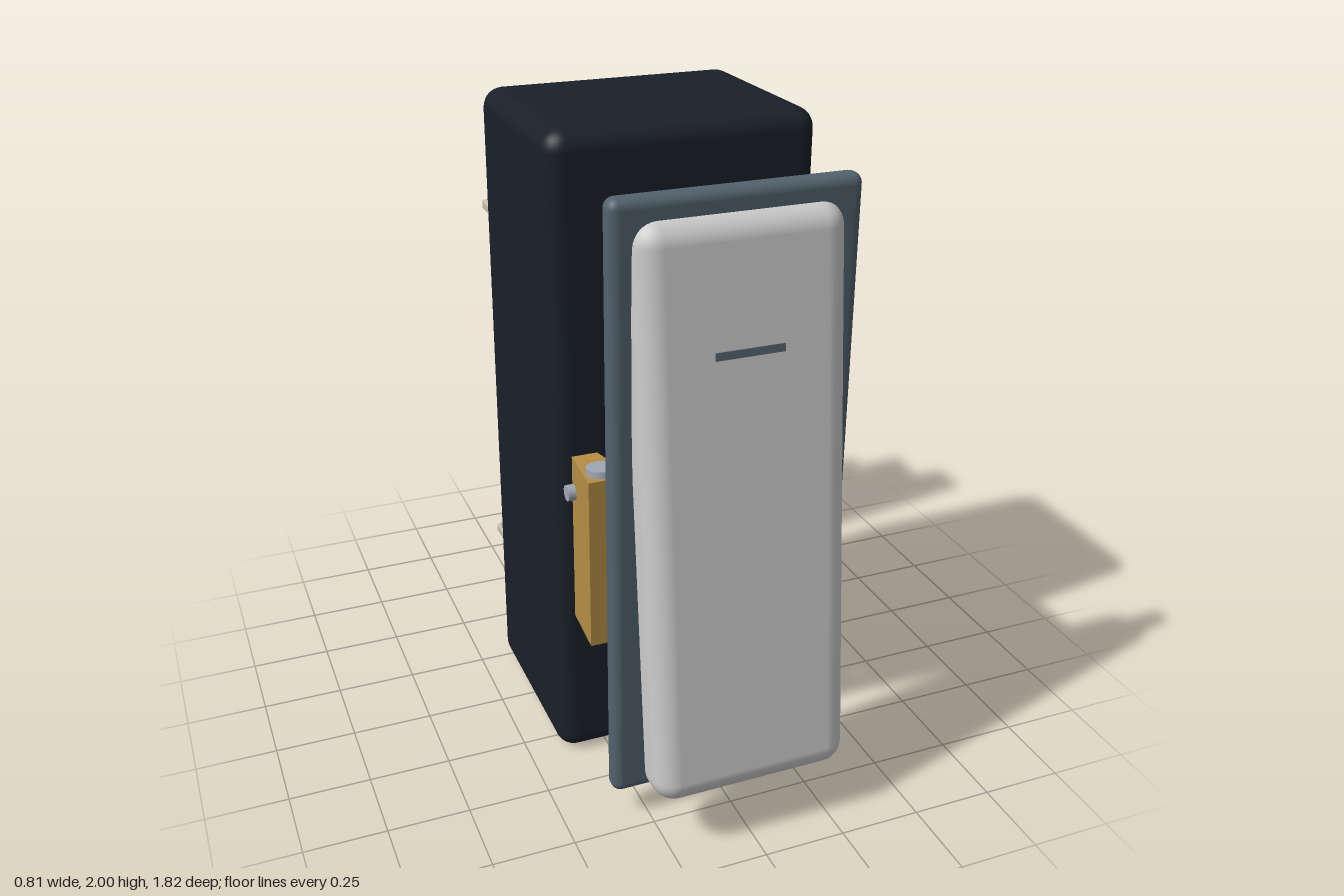
import * as THREE from 'three';
import { RoundedBoxGeometry } from 'three/addons/geometries/RoundedBoxGeometry.js';

const mat = (color) => new THREE.MeshStandardMaterial({ color });
const M = {
  body: mat(0x1a2029), slate: mat(0x52626d), rocker: mat(0xd8d8d4), brass: mat(0xb58e45),
  cream: mat(0xc4bda8), dark: mat(0x2c3433), steel: mat(0xa0a8b4), copper: mat(0x7a4527), tab: mat(0xb4b6b2),
};

function add(parent, name, geo, material, x = 0, y = 0, z = 0) {
  const mesh = new THREE.Mesh(geo, material);
  mesh.name = name;
  mesh.position.set(x, y, z);
  parent.add(mesh);
  return mesh;
}

// box given by its min/max limits, rounded when r > 0
function block(parent, name, material, [x0, x1], [y0, y1], [z0, z1], r = 0) {
  const w = x1 - x0, h = y1 - y0, d = z1 - z0;
  const geo = r > 0 ? new RoundedBoxGeometry(w, h, d, 4, r) : new THREE.BoxGeometry(w, h, d);
  return add(parent, name, geo, material, (x0 + x1) / 2, (y0 + y1) / 2, (z0 + z1) / 2);
}

const cylZ = (r, len, seg = 28) => new THREE.CylinderGeometry(r, r, len, seg).rotateX(Math.PI / 2);
const cylX = (r, len, seg = 24) => new THREE.CylinderGeometry(r, r, len, seg).rotateZ(Math.PI / 2);

// slotted screw pointing along +z, head at the back
function makeScrew() {
  const g = new THREE.Group();
  g.name = 'terminalScrew';
  add(g, 'screwShaft', cylZ(0.03, 0.17), M.steel, 0, 0, 0.08);
  add(g, 'screwHeadBase', cylZ(0.075, 0.025), M.steel, 0, 0, -0.0125);
  const a = 0.14;
  const half = new THREE.Shape();
  half.absarc(0, 0, 0.073, a, Math.PI - a, false);
  half.closePath();
  const geo = new THREE.ExtrudeGeometry(half, { depth: 0.015, bevelEnabled: false, curveSegments: 20 });
  const top = new THREE.Group();
  top.rotation.z = 0.25;
  top.position.z = -0.04;
  g.add(top);
  for (const s of [0, Math.PI]) add(top, 'screwHeadHalf', geo, M.steel).rotation.z = s;
  const pts = [];
  for (let i = 0; i <= 60; i++) {
    const t = (i / 60) * Math.PI * 10;
    pts.push(new THREE.Vector3(0.033 * Math.cos(t), 0.033 * Math.sin(t), 0.01 + 0.145 * i / 60));
  }
  add(g, 'screwThread', new THREE.TubeGeometry(new THREE.CatmullRomCurve3(pts), 120, 0.009, 6), M.steel);
  return g;
}

// rear screw terminal, y = 0 at the bottom of its pad
function makeTerminal() {
  const g = new THREE.Group();
  g.name = 'terminal';
  block(g, 'terminalPad', M.cream, [-0.255, 0.255], [0, 0.45], [-0.655, -0.56], 0.04);
  block(g, 'terminalShelf', M.cream, [-0.255, 0.255], [0.005, 0.04], [-0.885, -0.615], 0.008);
  block(g, 'copperFoot', M.copper, [-0.19, 0.19], [-0.058, 0.006], [-0.82, -0.73], 0.008);
  for (const s of [-1, 1]) {
    const span = (a, b) => [Math.min(s * a, s * b), Math.max(s * a, s * b)];
    block(g, 'terminalSideWall', M.dark, span(0.155, 0.2), [0.025, 0.345], [-0.82, -0.488], 0.01);
    block(g, 'brassStrip', M.brass, span(0.118, 0.152), [0.04, 0.32], [-0.815, -0.65]);
  }
  block(g, 'brassBase', M.brass, [-0.15, 0.15], [0.038, 0.06], [-0.82, -0.65]);
  add(g, 'clampBarrel', cylZ(0.11, 0.15), M.steel, 0, 0.165, -0.725);
  // flat ring lug and its tail
  const ring = new THREE.Shape();
  ring.absarc(0, 0, 0.085, 0, Math.PI * 2, false);
  const hole = new THREE.Path();
  hole.absarc(0, 0, 0.05, 0, Math.PI * 2, true);
  ring.holes.push(hole);
  add(g, 'ringLug', new THREE.ExtrudeGeometry(ring, {
    depth: 0.02, bevelEnabled: true, bevelSize: 0.004, bevelThickness: 0.004, bevelSegments: 2, curveSegments: 24,
  }), M.brass, 0, 0.13, -0.838);
  block(g, 'topTab', M.tab, [-0.2, 0.2], [0.3, 0.4], [-0.83, -0.816]);
  const screw = makeScrew();
  screw.position.set(0, 0.255, -0.87);
  g.add(screw);
  return g;
}

// front side contact for +x, tapering inward towards the housing
function makeContact() {
  const g = new THREE.Group();
  g.name = 'sideContact';
  const s = new THREE.Shape();
  s.moveTo(0.35, -0.33);
  s.lineTo(0.362, -0.525);
  s.lineTo(0.25, -0.525);
  s.quadraticCurveTo(0.25, -0.42, 0.28, -0.33);
  s.closePath();
  const geo = new THREE.ExtrudeGeometry(s, { depth: 0.54, bevelEnabled: false }).rotateX(-Math.PI / 2);
  add(g, 'contactArm', geo, M.brass, 0, 0.9, 0);
  add(g, 'contactButton', new THREE.CylinderGeometry(0.045, 0.045, 0.02, 24), M.steel, 0.305, 0.892, 0.475).rotation.x = 0.1;
  add(g, 'pivotPin', cylX(0.024, 0.04), M.steel, 0.357, 1.005, 0.37);
  return g;
}

export function createModel() {
  const model = new THREE.Group();
  model.name = 'explodedRockerSwitch';

  block(model, 'housing', M.body, [-0.405, 0.405], [0, 2], [-0.3, 0.35], 0.06);
  block(model, 'bezel', M.slate, [-0.358, 0.358], [0.092, 1.91], [0.63, 0.7], 0.03);

  // tilted rocker with its marker line
  const rocker = new THREE.Group();
  rocker.name = 'rocker';
  rocker.position.set(0, 1.01, 0.747);
  rocker.rotation.x = -0.105;
  model.add(rocker);
  block(rocker, 'rockerPaddle', M.rocker, [-0.3, 0.3], [-0.842, 0.842], [-0.086, 0.086], 0.07);
  block(rocker, 'markerLine', M.slate, [-0.1, 0.1], [0.464, 0.486], [0.08, 0.09]);

  // switch mechanism: two contacts, half a turn apart about the z axis
  const right = makeContact();
  const left = makeContact();
  left.rotation.z = Math.PI;
  left.position.y = 1.95;
  model.add(right, left);
  add(model, 'crossBar', cylX(0.047, 0.61), M.brass, 0, 1.0, 0.488);
  block(model, 'actuator', M.dark, [-0.122, 0.122], [1.0, 1.44], [0.33, 0.545], 0.015);

  // rear plate and two terminals
  block(model, 'rearPlate', M.cream, [-0.255, 0.255], [0.13, 1.88], [-0.56, -0.497], 0.03);
  for (const y of [0.13, 1.43]) {
    const t = makeTerminal();
    t.position.y = y;
    model.add(t);
  }
  return model;
}
